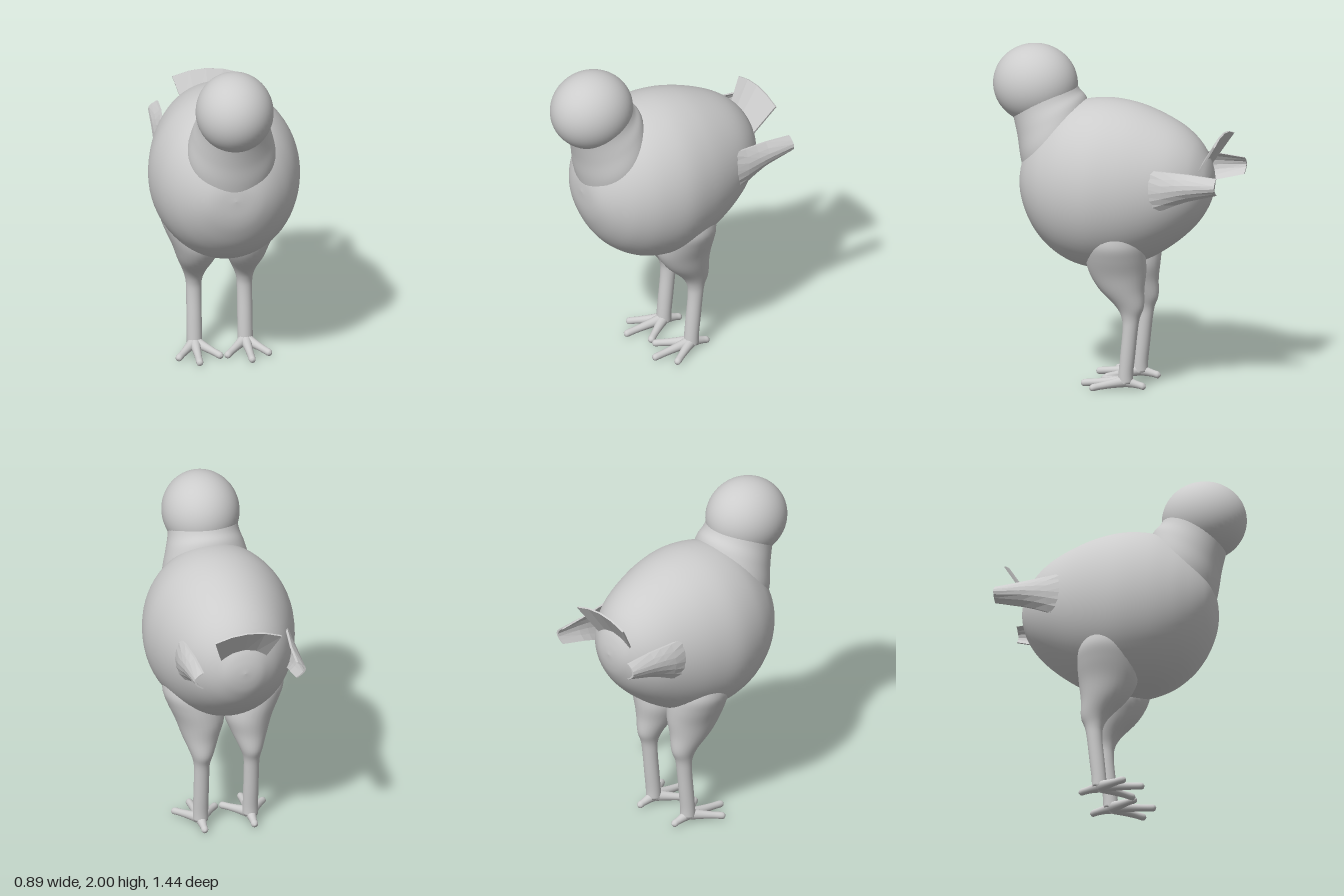
import * as THREE from 'three';

const V = (x, y, z) => new THREE.Vector3(x, y, z);
const grey = new THREE.MeshStandardMaterial({ color: 0xcccccc });
grey.name = 'plain grey';

// Closed skin over a list of point rings, capped at both ends, facing outwards.
function skin(rings, flat = false) {
  const n = rings[0].length, pts = rings.flat(), idx = [];
  for (let i = 0; i < rings.length - 1; i++) {
    for (let j = 0; j < n; j++) {
      const a = i * n + j, b = i * n + (j + 1) % n;
      idx.push(a, b, a + n, b, b + n, a + n);
    }
  }
  const last = (rings.length - 1) * n;
  for (let j = 0; j < n / 2 - 1; j++) {
    // strip across the ring, pairing opposite points
    const k = n - 1 - j;
    idx.push(j, k, j + 1, j + 1, k, k - 1);
    idx.push(last + j, last + j + 1, last + k, last + j + 1, last + k - 1, last + k);
  }
  let volume = 0;
  for (let i = 0; i < idx.length; i += 3) {
    volume += pts[idx[i]].dot(pts[idx[i + 1]].clone().cross(pts[idx[i + 2]]));
  }
  if (volume < 0) idx.reverse();
  let g = new THREE.BufferGeometry().setFromPoints(pts);
  g.setIndex(idx);
  if (flat) g = g.toNonIndexed();
  g.computeVertexNormals();
  return g;
}

// Smooth loft through elliptical sections given as [centre, half axis u, half axis v].
function loft(sections, steps, sides) {
  const [c, u, v] = [0, 1, 2].map(k => new THREE.CatmullRomCurve3(
    sections.map(s => s[k]), false, 'catmullrom', 0.5));
  const rings = [];
  for (let i = 0; i <= steps; i++) {
    const t = i / steps, C = c.getPoint(t), U = u.getPoint(t), W = v.getPoint(t), ring = [];
    for (let j = 0; j < sides; j++) {
      const a = j / sides * Math.PI * 2;
      ring.push(C.clone().addScaledVector(U, Math.cos(a)).addScaledVector(W, Math.sin(a)));
    }
    rings.push(ring);
  }
  return skin(rings);
}

// Thin curved plate: point(row, u) for u in -1..1, thickened by an offset.
function plate(rows, point, offset, cuts) {
  return skin(rows.map(r => {
    const front = [];
    for (let i = 0; i <= cuts; i++) front.push(point(r, i / cuts * 2 - 1));
    return [...front, ...front.map(p => p.clone().add(offset)).reverse()];
  }), true);
}

export function createModel() {
  const model = new THREE.Group();
  model.name = 'bird';
  const add = (name, geometry, parent = model) => {
    const m = new THREE.Mesh(geometry, grey);
    m.name = name;
    parent.add(m);
    return m;
  };

  // Egg-shaped body: z, bottom, top, half width
  add('body', loft([
    [0.54, 1.22, 1.22, 0], [0.53, 1.1, 1.31, 0.12], [0.5, 1.0, 1.4, 0.2],
    [0.44, 0.89, 1.5, 0.28], [0.35, 0.795, 1.59, 0.355], [0.22, 0.72, 1.67, 0.415],
    [0.05, 0.69, 1.7, 0.445], [-0.12, 0.72, 1.685, 0.42], [-0.28, 0.79, 1.635, 0.37],
    [-0.42, 0.89, 1.565, 0.305], [-0.52, 0.99, 1.48, 0.225], [-0.58, 1.085, 1.385, 0.14],
    [-0.605, 1.16, 1.31, 0.08], [-0.615, 1.24, 1.24, 0],
  ].map(([z, b, t, w]) => [V(0, (b + t) / 2, z), V(w, 0, 0), V(0, (t - b) / 2, 0)]), 78, 64));

  // Neck: back z, back y, front z, front y, half width
  add('neck', loft([
    [0.26, 1.84, 0.62, 1.64, 0.2], [0.215, 1.745, 0.595, 1.565, 0.21],
    [0.17, 1.69, 0.567, 1.45, 0.235], [0.14, 1.58, 0.547, 1.33, 0.26],
    [0.12, 1.45, 0.515, 1.2, 0.25],
  ].map(([bz, by, fz, fy, w]) => [V(0, (by + fy) / 2, (bz + fz) / 2),
    V(w, 0, 0), V(0, (fy - by) / 2, (fz - bz) / 2)]), 24, 48));

  // Head
  const head = add('head', new THREE.SphereGeometry(1, 48, 32));
  head.scale.set(0.228, 0.235, 0.25);
  head.position.set(0, 1.765, 0.47);

  // Tail fan: z, edge height, half width
  add('tail', plate([[-0.5, 1.2, 0.1], [-0.575, 1.33, 0.14], [-0.685, 1.5, 0.2]],
    ([z, y, w], u) => V(w * u, y + 0.04 * (1 - u * u), z), V(0, 0.004, 0.01), 4));

  for (const s of [1, -1]) {
    const side = s > 0 ? 'left' : 'right';

    // Wing: z, top, bottom, middle x, edge x
    add(side + 'Wing', plate([
      [-0.25, 1.375, 1.06, 0.35, 0.325], [-0.4, 1.36, 1.13, 0.355, 0.312],
      [-0.48, 1.355, 1.165, 0.35, 0.303], [-0.55, 1.35, 1.19, 0.346, 0.295],
      [-0.72, 1.335, 1.235, 0.337, 0.29],
    ], ([z, t, b, m, e], u) => V(s * (m + (e - m) * u * u), (t + b) / 2 + u * (t - b) / 2, z),
    V(-s * 0.013, 0, 0), 6));

    // Thigh and shin: y, centre z, radius z, centre x, radius x
    const leg = new THREE.Group();
    leg.name = side + 'Leg';
    model.add(leg);
    add('thighAndShin', loft([
      [1.0, -0.08, 0.1, 0.25, 0.09], [0.95, -0.07, 0.14, 0.23, 0.125],
      [0.88, -0.07, 0.17, 0.2, 0.16], [0.8, -0.07, 0.178, 0.17, 0.163],
      [0.7, -0.075, 0.17, 0.145, 0.145], [0.6, -0.1, 0.135, 0.146, 0.11],
      [0.5, -0.15, 0.085, 0.148, 0.069], [0.43, -0.157, 0.054, 0.15, 0.048],
      [0.35, -0.153, 0.045, 0.15, 0.045], [0.2, -0.138, 0.044, 0.15, 0.045],
      [0.1, -0.128, 0.043, 0.15, 0.045], [0.04, -0.125, 0.045, 0.15, 0.045],
    ].map(([y, z, rz, x, rx]) => [V(s * x, y, z), V(rx, 0, 0), V(0, 0, rz)]), 55, 28), leg);

    // Toes: tip x, tip z
    [[0.155, 0.13], [0.268, 0.045], [0.02, 0.045], [0.15, -0.235]].forEach(([x, z], i) => {
      const from = V(s * 0.15, 0.048, -0.125), to = V(s * x, 0.022, z);
      const across = V(to.z - from.z, 0, from.x - to.x).normalize();
      const end = to.clone().addScaledVector(to.clone().sub(from).setY(0).normalize(), 0.015);
      const sections = [[from, 0.036], [from.clone().lerp(to, 0.4), 0.026],
        [from.clone().lerp(to, 0.75), 0.021], [to, 0.02], [end, 0.004]];
      add('toe' + (i + 1), loft(sections.map(([c, r]) =>
        [c, across.clone().multiplyScalar(r), V(0, r, 0)]), 20, 14), leg);
    });
  }
  return model;
}
